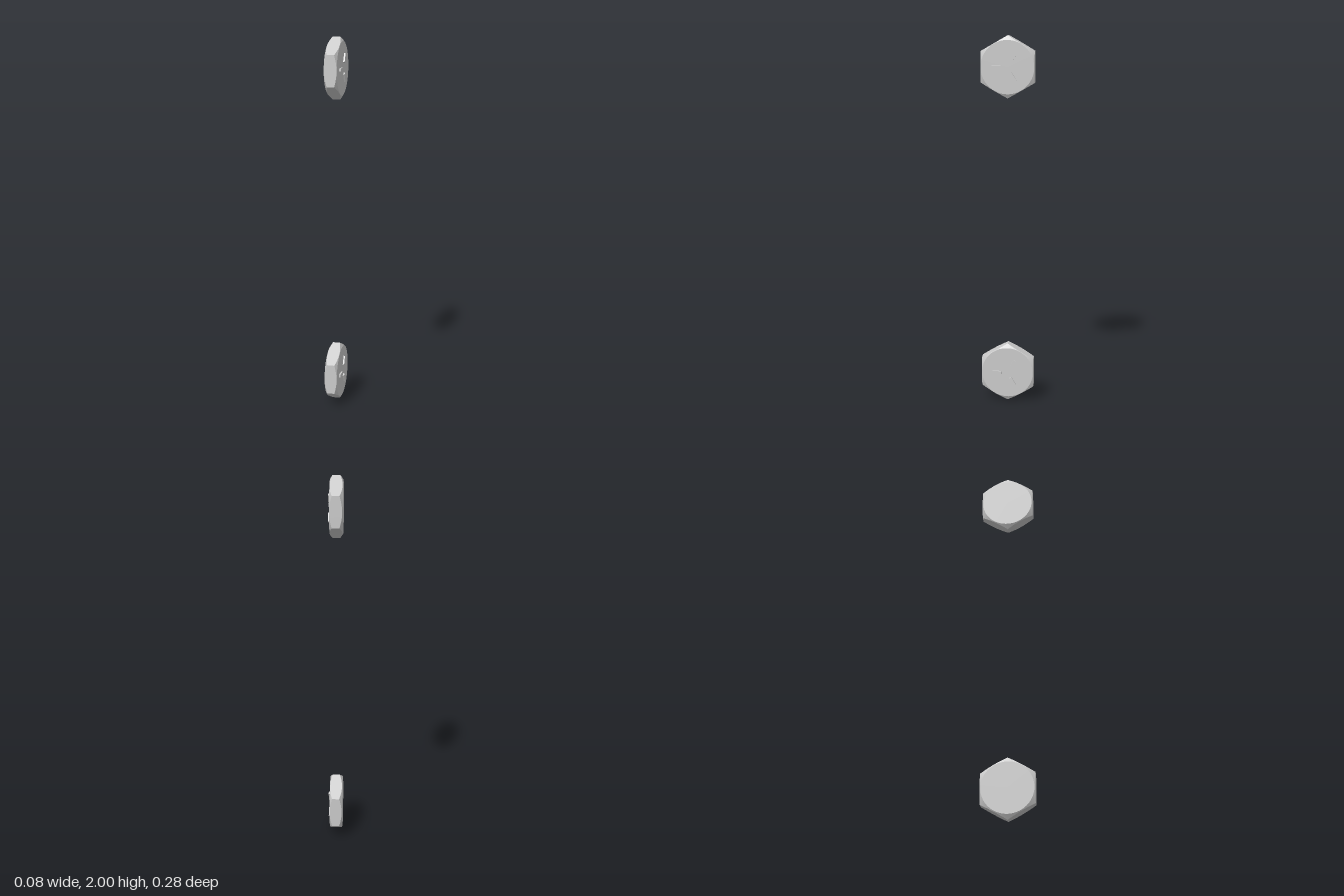
import * as THREE from 'three';
import { toCreasedNormals } from 'three/addons/utils/BufferGeometryUtils.js';

const APOTHEM = 0.1415;
const CORNER = APOTHEM / Math.cos(Math.PI / 6);
const FACE_X = 0.03, BACK_X = -0.039;

// Hexagonal prism along x, its corners trimmed by a cone at both ends
function hexHeadGeometry(segments = 96) {
  const section = (t) => {
    const r = APOTHEM / Math.cos((t % (Math.PI / 3)) - Math.PI / 6);
    return [
      [BACK_X, 0],
      [BACK_X, 0.137],
      [BACK_X + (r - 0.137) * 0.62, r],
      [FACE_X - (r - 0.14) * 0.58, r],
      [FACE_X, 0.14],
      [FACE_X, 0],
    ].map(([x, rad]) => [x, rad * Math.cos(t), rad * Math.sin(t)]);
  };
  const positions = [];
  for (let j = 0; j < segments; j++) {
    const p = section((j / segments) * Math.PI * 2);
    const q = section((((j + 1) % segments) / segments) * Math.PI * 2);
    for (let i = 0; i < p.length - 1; i++) {
      if (i > 0) positions.push(...p[i], ...q[i], ...p[i + 1]);
      if (i < p.length - 2) positions.push(...q[i], ...q[i + 1], ...p[i + 1]);
    }
  }
  const geometry = new THREE.BufferGeometry();
  geometry.setAttribute('position', new THREE.Float32BufferAttribute(positions, 3));
  return toCreasedNormals(geometry, 0.4);
}

export function createModel() {
  const model = new THREE.Group();
  model.name = 'boltHeads';
  const material = new THREE.MeshStandardMaterial({ color: 0xcccccc });
  const headGeometry = hexHeadGeometry();
  const markGeometry = new THREE.BoxGeometry(0.012, 0.015, 0.049);

  const addHead = (name, y) => {
    const bolt = new THREE.Group();
    bolt.name = name;
    bolt.position.y = y;
    const head = new THREE.Mesh(headGeometry, material);
    head.name = 'hexHead';
    bolt.add(head);

    // Three raised radial grade marks on the outer face
    for (let k = 0; k < 3; k++) {
      const angle = Math.PI / 3 + (k * Math.PI * 2) / 3;
      const mark = new THREE.Mesh(markGeometry, material);
      mark.name = 'gradeMark';
      mark.position.set(0.032, 0.0575 * Math.sin(angle), -0.0575 * Math.cos(angle));
      mark.rotation.x = angle;
      bolt.add(mark);
    }
    model.add(bolt);
  };

  addHead('upperBoltHead', 2 - CORNER);
  addHead('lowerBoltHead', CORNER);
  return model;
}
